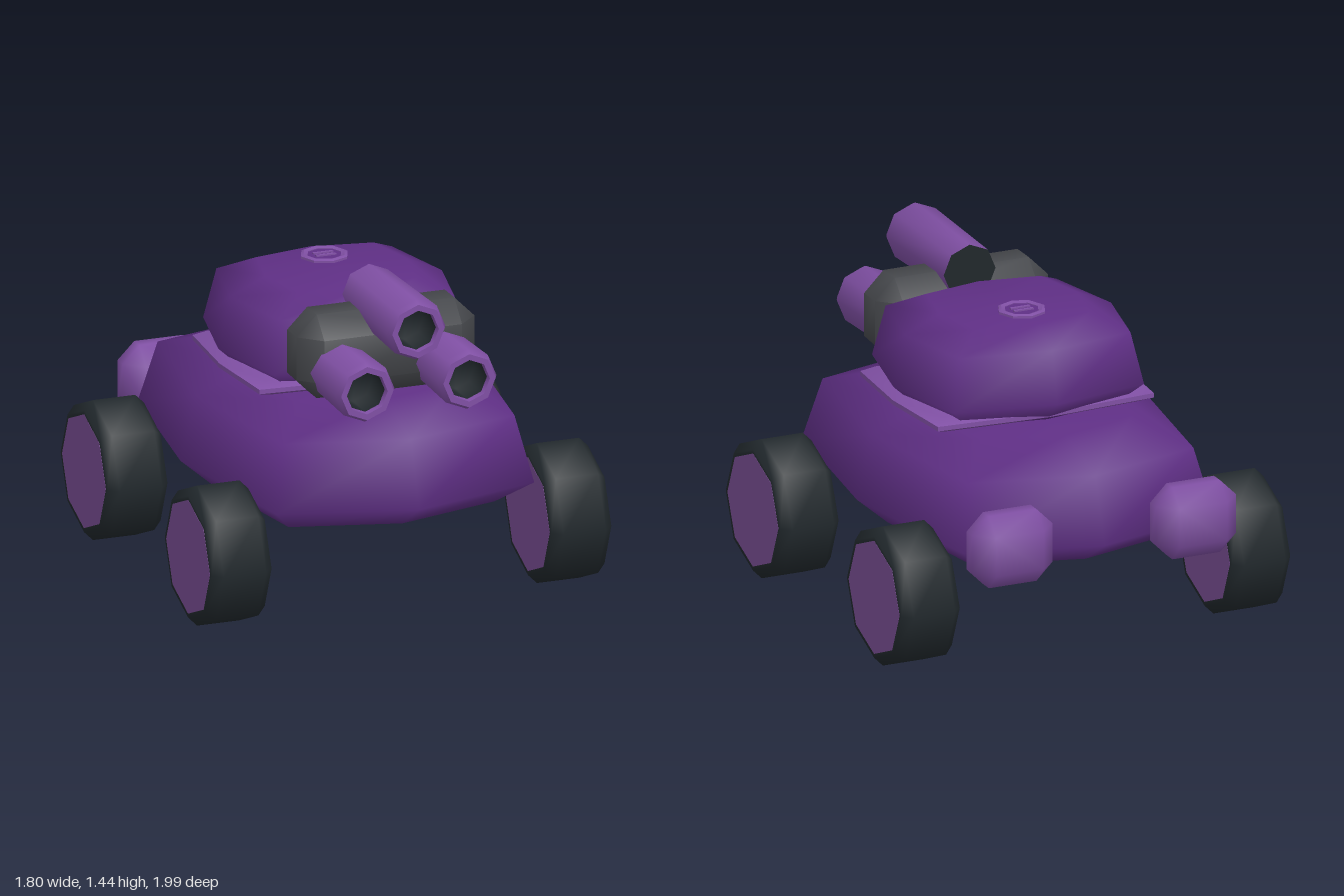
import * as THREE from 'three';
import { toCreasedNormals } from 'three/addons/utils/BufferGeometryUtils.js';
import { ConvexGeometry } from 'three/addons/geometries/ConvexGeometry.js';

const paint = (color, side = THREE.FrontSide) => new THREE.MeshStandardMaterial({ color, side });
const armour = paint(0x5f2f85);
const trim = paint(0x7f4fa3);
const hubPaint = paint(0x774c91);
const rubber = paint(0x20272b);
const gunmetal = paint(0x45474b);
const dark = paint(0x20272b, THREE.DoubleSide);

function add(parent, name, geometry, material, x = 0, y = 0, z = 0) {
  const mesh = new THREE.Mesh(geometry, material);
  mesh.name = name;
  mesh.position.set(x, y, z);
  parent.add(mesh);
  return mesh;
}

// Stacks scaled copies of an [x, z] outline at the given [y, scale] levels and caps both ends.
function loft(outline, levels) {
  const n = outline.length;
  const pos = [];
  const index = [];
  for (const [y, s] of levels) for (const [x, z] of outline) pos.push(x * s, y, z * s);
  const bottom = n * levels.length;
  const top = bottom + 1;
  pos.push(0, levels[0][0], 0, 0, levels[levels.length - 1][0], 0);
  for (let i = 0; i < n; i++) {
    const j = (i + 1) % n;
    for (let k = 0; k < levels.length - 1; k++) {
      const a = k * n + i, b = k * n + j;
      index.push(a, b, b + n, a, b + n, a + n);
    }
    index.push(bottom, j, i, top, bottom - n + i, bottom - n + j);
  }
  const g = new THREE.BufferGeometry();
  g.setAttribute('position', new THREE.Float32BufferAttribute(pos, 3));
  g.setIndex(index);
  g.computeVertexNormals();
  return g;
}

// Eight-point outline with pointed front, rear and sides.
function outline(side, cornerX, cornerZ, tip) {
  return [[0, tip], [cornerX, cornerZ], [side, 0], [cornerX, -cornerZ],
    [0, -tip], [-cornerX, -cornerZ], [-side, 0], [-cornerX, cornerZ]];
}

// Box with every edge cut back by c.
function chamferBox(w, h, d, c, crease) {
  const half = [w / 2, h / 2, d / 2];
  const pts = [];
  for (const sx of [-1, 1]) for (const sy of [-1, 1]) for (const sz of [-1, 1])
    for (let axis = 0; axis < 3; axis++) {
      const p = half.map((v, i) => (i === axis ? v : v - c));
      pts.push(new THREE.Vector3(sx * p[0], sy * p[1], sz * p[2]));
    }
  return toCreasedNormals(new ConvexGeometry(pts), crease);
}

const lathe = (profile) =>
  new THREE.LatheGeometry(profile.map(([r, y]) => new THREE.Vector2(r, y)), 8);

function makeWheel(name, x, z) {
  const wheel = new THREE.Group();
  wheel.name = name;
  const tyre = lathe([[0.25, -0.135], [0.27, -0.135], [0.31, -0.095],
    [0.31, 0.095], [0.27, 0.135], [0.25, 0.135]]);
  add(wheel, 'tyre', tyre.rotateZ(Math.PI / 2), rubber);
  add(wheel, 'hub', new THREE.CylinderGeometry(0.252, 0.252, 0.272, 8).rotateZ(Math.PI / 2), hubPaint);
  wheel.position.set(x, 0.31, z);
  return wheel;
}

function makeBarrel(name, x, y) {
  const barrel = new THREE.Group();
  barrel.name = name;
  const tube = lathe([[0.12, 0.41], [0.133, 0.95], [0.118, 0.98], [0.092, 0.98], [0.088, 0.95]]);
  add(barrel, 'tube', toCreasedNormals(tube, 0.9).rotateX(Math.PI / 2), trim);
  add(barrel, 'bore', lathe([[0.088, 0.955], [0.085, 0.82], [0, 0.82]]).rotateX(Math.PI / 2), dark);
  add(barrel, 'breech', new THREE.CircleGeometry(0.12, 8), dark, 0, 0, 0.41);
  barrel.position.set(x, y, 0);
  return barrel;
}

export function createModel() {
  const model = new THREE.Group();
  model.name = 'tank';

  // Hull and turret share one bevelled shell shape
  const shell = loft(outline(0.7, 0.58, 0.8, 0.96),
    [[0, 0.8], [0.12, 1], [0.4, 0.9], [0.49, 0.6]]);
  add(model, 'hull', shell, armour, 0, 0.4, 0.03);
  const turretShell = shell.clone().scale(0.757, 0.8, 0.51);
  add(model, 'turret', turretShell, armour, 0, 0.9, 0.03);

  // Collar under the turret
  const collar = loft(outline(0.53, 0.5, 0.385, 0.42),
    [[0, 0.87], [0.025, 1], [0.045, 1], [0.07, 0.9]]);
  add(model, 'turretCollar', toCreasedNormals(collar, 0.7), trim, 0, 0.89, 0.04);

  // Gun mount and three barrels
  add(model, 'gunMount', chamferBox(0.8, 0.37, 0.29, 0.09, 1), gunmetal, 0, 1.115, 0.545);
  model.add(makeBarrel('upperBarrel', 0, 1.307));
  model.add(makeBarrel('leftBarrel', 0.23, 1.06));
  model.add(makeBarrel('rightBarrel', -0.23, 1.06));

  // Roof hatch: raised rim with two slots
  const hatch = new THREE.Group();
  hatch.name = 'hatch';
  hatch.position.set(0, 1.3, -0.105);
  const rim = lathe([[0.075, 0], [0.105, 0], [0.105, 0.01], [0.092, 0.016], [0.075, 0.01], [0.075, 0]]);
  add(hatch, 'rim', toCreasedNormals(rim, 0.5), trim);
  add(hatch, 'lid', new THREE.CylinderGeometry(0.08, 0.08, 0.014, 8), armour);
  for (const z of [-0.017, 0.017])
    add(hatch, 'slot', new THREE.BoxGeometry(0.09, 0.012, 0.014), trim, 0, 0.007, z);
  model.add(hatch);

  // Wheels and rear pods on both sides
  for (const [side, s] of [['Left', 1], ['Right', -1]]) {
    model.add(makeWheel('front' + side + 'Wheel', s * 0.765, 0.63));
    model.add(makeWheel('rear' + side + 'Wheel', s * 0.765, -0.57));
    add(model, 'rear' + side + 'Pod', chamferBox(0.37, 0.32, 0.21, 0.075, 1.1), trim,
      s * 0.425, 0.57, -0.895);
  }
  return model;
}
